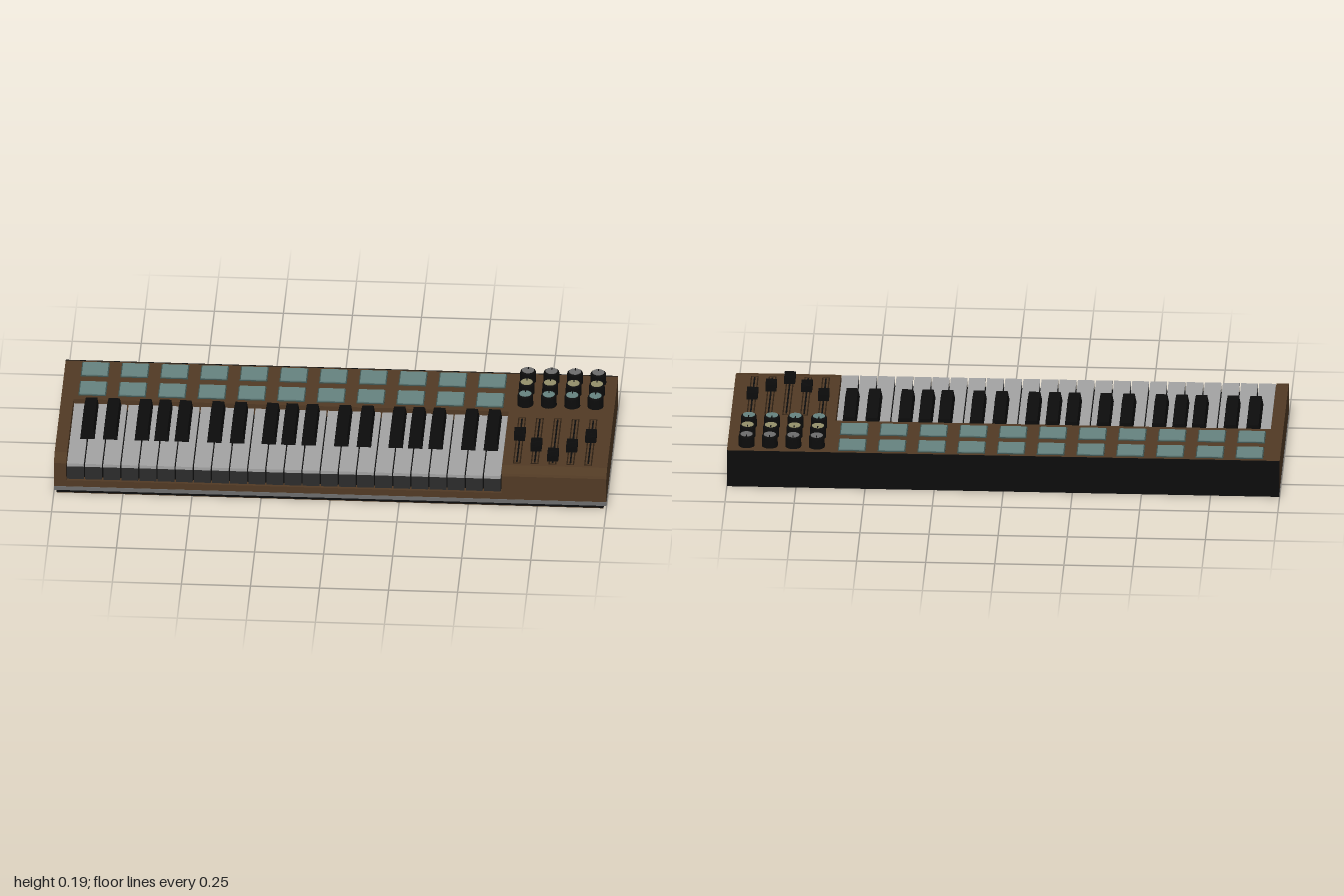
import * as THREE from 'three';

const mat = (name, color, side = THREE.FrontSide) => {
  const m = new THREE.MeshStandardMaterial({ color, side });
  m.name = name;
  return m;
};

export function createModel() {
  const brown = mat('brown casing', 0x513a24);
  const darkBrown = mat('dark brown slot', 0x2b1e12);
  const black = mat('black plastic', 0x0c0c0c);
  const charcoal = mat('charcoal', 0x2c2c2c);
  const grey = mat('grey trim', 0x6c6c6c);
  const white = mat('key white', 0xa3a3a3);
  const teal = mat('pad teal', 0x668380);
  const padEdge = mat('pad edge', 0x3d5350);
  const olive = mat('olive cap', 0x94906a);

  const root = new THREE.Group();
  root.name = 'keyboardController';
  const group = (name) => {
    const g = new THREE.Group();
    g.name = name;
    root.add(g);
    return g;
  };
  const add = (parent, name, geo, material) => {
    const m = new THREE.Mesh(geo, material);
    m.name = name;
    parent.add(m);
    return m;
  };
  // Box given by its limits on each axis
  const box = (parent, name, material, x0, x1, y0, y1, z0, z1) => {
    const g = new THREE.BoxGeometry(x1 - x0, y1 - y0, z1 - z0);
    g.translate((x0 + x1) / 2, (y0 + y1) / 2, (z0 + z1) / 2);
    return add(parent, name, g, material);
  };
  // Side profile of [z, y] points, extruded from x0 to x1
  const profile = (parent, name, material, pts, x0, x1) => {
    const shape = new THREE.Shape(pts.map(([z, y]) => new THREE.Vector2(z, y)));
    const g = new THREE.ExtrudeGeometry(shape, { depth: x1 - x0, bevelEnabled: false });
    g.rotateY(-Math.PI / 2).translate(x1, 0, 0);
    return add(parent, name, g, material);
  };

  const keyL = -0.955, keyR = 0.62, top = 0.142;

  // Casing: base, trim, chamfered end blocks, rear deck and front rail
  const casing = group('casing');
  box(casing, 'bottomPlate', brown, -0.99, 0.99, 0, 0.003, -0.36, 0.356);
  box(casing, 'base', black, -0.99, 0.99, 0.003, 0.015, -0.36, 0.358);
  box(casing, 'trimStrip', grey, -1, 1, 0.015, 0.03, -0.36, 0.365);
  box(casing, 'backPanel', black, -1, 1, 0.002, top, -0.365, -0.36);
  const side = [[-0.36, 0.03], [0.363, 0.03], [0.363, 0.125], [0.347, 0.127], [0.31, top], [-0.36, top]];
  profile(casing, 'leftBlock', brown, side, keyR, 1);
  profile(casing, 'rightCheek', brown, side, -1, keyL);
  box(casing, 'rearDeck', brown, keyL, keyR, 0.03, top, -0.36, -0.08);
  box(casing, 'frontRail', brown, keyL, keyR, 0.03, 0.055, 0.3, 0.363);
  box(casing, 'keyBed', black, keyL, keyR, 0.03, 0.1, -0.08, 0.335);

  // White keys: a top with a lip, and a darker front set just behind it
  const keys = group('keys');
  const count = 24, w = (keyR - keyL) / count, gap = 0.0025;
  for (let i = 0; i < count; i++) {
    const a = keyL + i * w + gap, b = keyL + (i + 1) * w - gap;
    box(keys, 'whiteKey', white, a, b, 0.112, 0.124, -0.08, 0.361);
    box(keys, 'whiteKeyFront', charcoal, a, b, 0.057, 0.112, 0.33, 0.355);
  }

  // Black keys: tapered boxes rising towards the player
  const blackKey = new THREE.BoxGeometry(0.057, 0.05, 0.256);
  const p = blackKey.attributes.position;
  for (let i = 0; i < p.count; i++) {
    const isTop = p.getY(i) > 0, isFront = p.getZ(i) > 0;
    p.setY(i, isTop ? (isFront ? 0.162 : 0.153) : 0.11);
    if (isTop) p.setX(i, p.getX(i) * 0.72);
    p.setZ(i, isFront ? (isTop ? 0.165 : 0.183) : -0.075);
  }
  blackKey.computeVertexNormals();
  for (let octave = 0; octave < 4; octave++) {
    for (const step of [1, 2.25, 4, 5.08, 6.2]) {
      const pos = octave * 7 + step;
      if (pos < count) add(keys, 'blackKey', blackKey, black).position.x = keyL + pos * w;
    }
  }

  // Two rows of eleven pads
  const pads = group('pads');
  for (const z of [-0.297, -0.157]) {
    for (let i = 0; i < 11; i++) {
      const x = -0.889 + i * 0.1438;
      box(pads, 'padRim', padEdge, x - 0.05, x + 0.05, top - 0.004, 0.1445, z - 0.05, z + 0.05);
      box(pads, 'pad', teal, x - 0.046, x + 0.046, top, 0.148, z - 0.046, z + 0.046);
    }
  }

  // Rotary knobs with coloured caps and a pointer
  const knobs = group('knobs');
  const knobGeo = new THREE.LatheGeometry([
    [0.029, 0], [0.0285, 0.036], [0.027, 0.041], [0.024, 0.043], [0, 0.043],
  ].map(([r, y]) => new THREE.Vector2(r, y)), 24);
  const capGeo = new THREE.CylinderGeometry(0.022, 0.022, 0.003, 24);
  [[-0.31, grey], [-0.225, olive], [-0.139, teal]].forEach(([z, capMat]) => {
    for (const x of [0.677, 0.762, 0.847, 0.931]) {
      add(knobs, 'knob', knobGeo, black).position.set(x, top, z);
      add(knobs, 'knobCap', capGeo, capMat).position.set(x, 0.1855, z);
      box(knobs, 'pointer', black, x - 0.002, x + 0.002, 0.186, 0.1875, z - 0.022, z - 0.008);
    }
  });

  // Sliders: framed slot, stalk and ridged cap
  const sliders = group('sliders');
  [0.11, 0.184, 0.254, 0.184, 0.11].forEach((z, i) => {
    const x = 0.672 + i * 0.0645;
    box(sliders, 'slotFrame', darkBrown, x - 0.014, x + 0.014, top - 0.002, top + 0.0008, -0.04, 0.297);
    box(sliders, 'slot', brown, x - 0.0095, x + 0.0095, top, top + 0.0014, -0.035, 0.292);
    box(sliders, 'slotGroove', black, x - 0.003, x + 0.003, top, top + 0.0018, -0.03, 0.287);
    box(sliders, 'stalk', black, x - 0.008, x + 0.008, top, 0.149, z - 0.012, z + 0.012);
    box(sliders, 'sliderCap', black, x - 0.02, x + 0.02, 0.147, 0.168, z - 0.029, z + 0.029);
    for (let r = -3; r <= 3; r++) {
      const c = z + r * 0.0085;
      box(sliders, 'ridge', black, x - 0.02, x + 0.02, 0.168, 0.172, c - 0.0025, c + 0.0025);
    }
  });

  return root;
}
